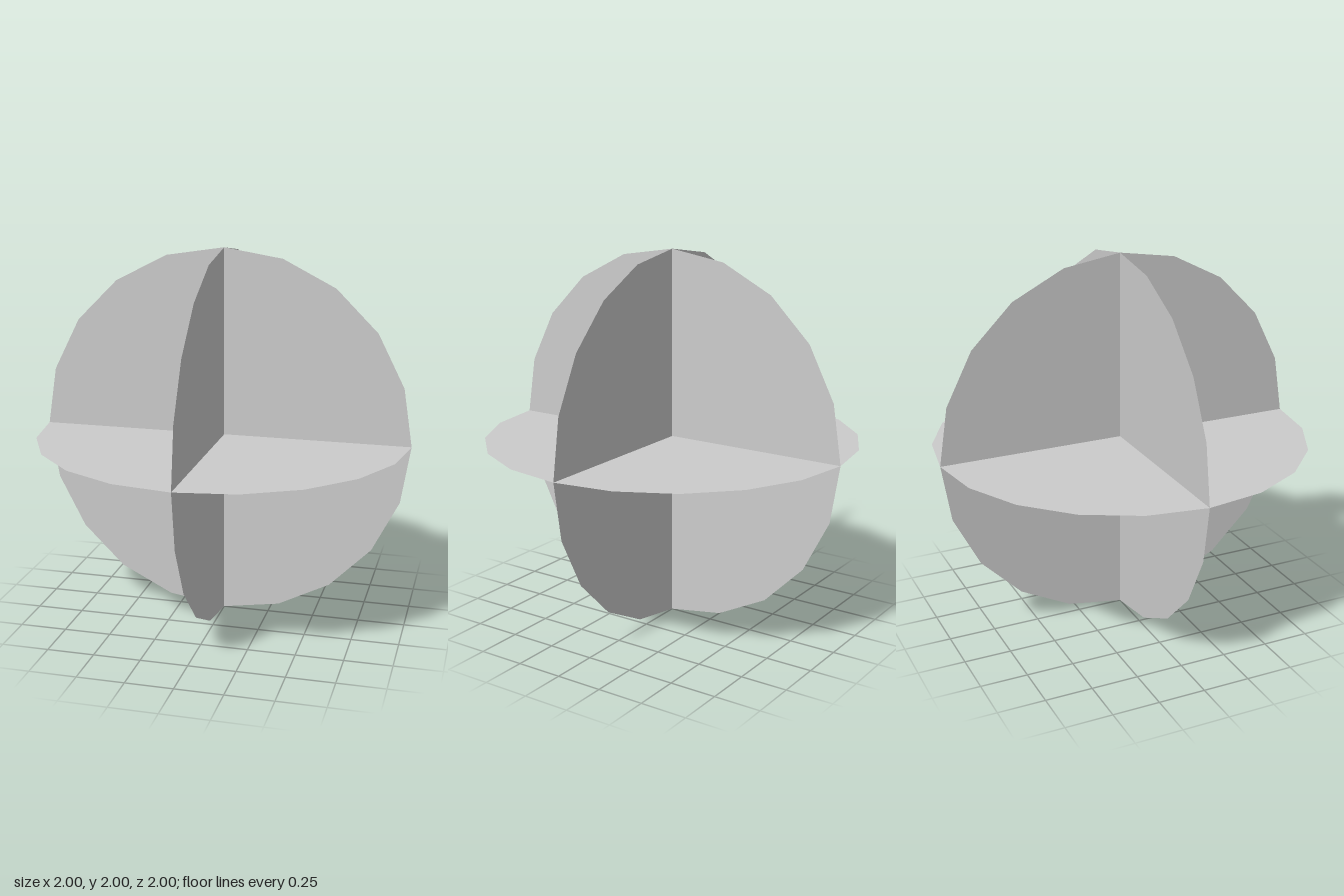
import * as THREE from 'three';

// Three flat 20-sided discs crossing at right angles through one centre
export function createModel() {
  const model = new THREE.Group();
  model.name = 'crossedDiscs';
  const material = new THREE.MeshStandardMaterial({
    color: 0xcccccc,
    flatShading: true,
    side: THREE.DoubleSide,
  });
  const disc = new THREE.CircleGeometry(1, 20);

  const addDisc = (name, rotX, rotY) => {
    const mesh = new THREE.Mesh(disc, material);
    mesh.name = name;
    mesh.rotation.set(rotX, rotY, 0);
    mesh.position.y = 1;
    model.add(mesh);
  };

  addDisc('frontDisc', 0, 0);
  addDisc('sideDisc', 0, Math.PI / 2);
  addDisc('levelDisc', -Math.PI / 2, 0);

  return model;
}
